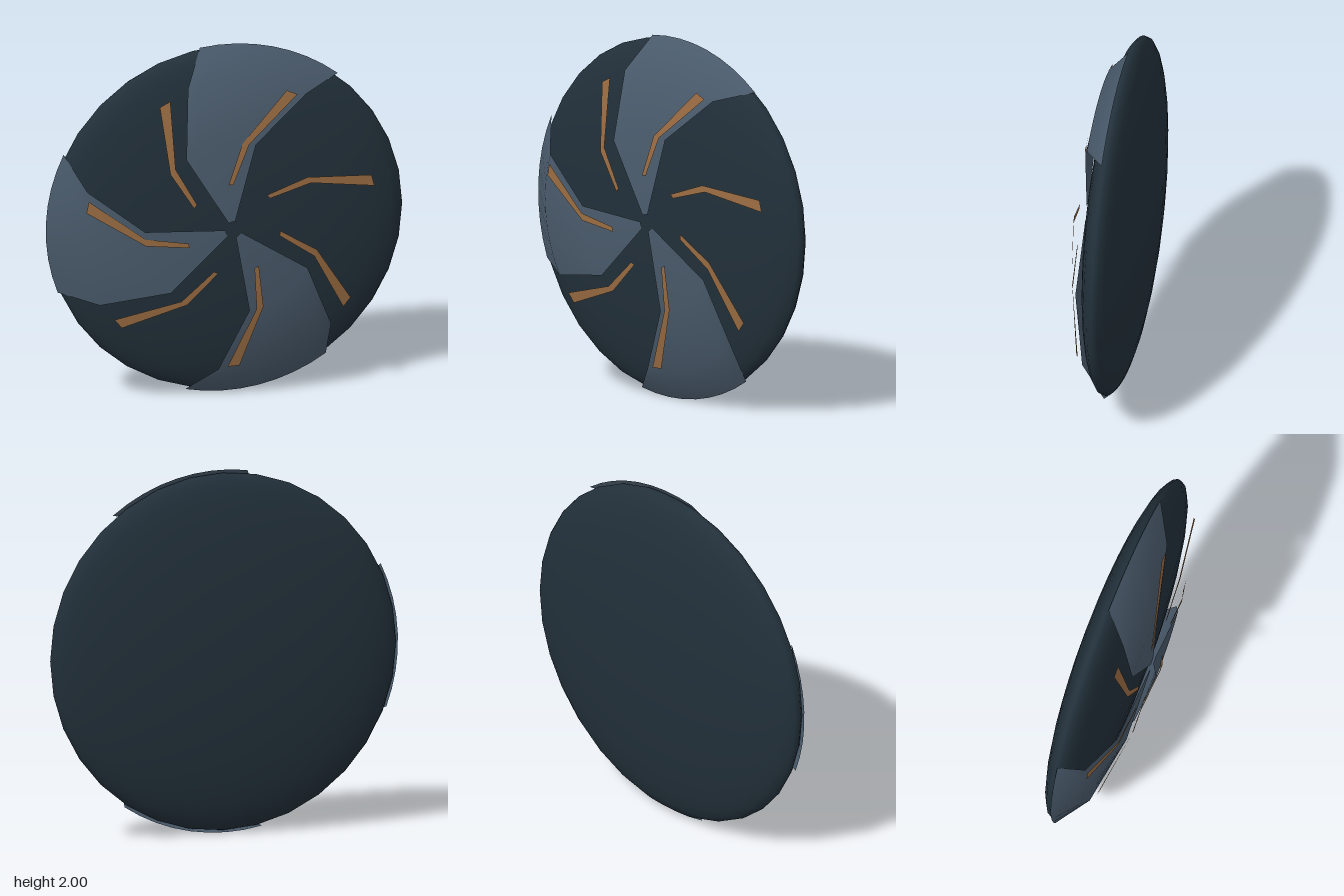
import * as THREE from 'three';

const SECTORS = 7;

// Curved sheet swept across rings of [radius, startAngle, endAngle, z]; angles in degrees clockwise from up
function ringSheet(rings, columns) {
  const positions = [], index = [];
  rings.forEach(([r, a0, a1, z], i) => {
    for (let j = 0; j <= columns; j++) {
      const a = THREE.MathUtils.degToRad(a0 + (a1 - a0) * j / columns);
      positions.push(r * Math.sin(a), r * Math.cos(a), z);
      if (i && j) {
        const d = i * (columns + 1) + j, c = d - 1, b = d - columns - 1, e = b - 1;
        index.push(e, b, d, e, d, c);
      }
    }
  });
  const geo = new THREE.BufferGeometry();
  geo.setAttribute('position', new THREE.Float32BufferAttribute(positions, 3));
  // wind the faces toward +z
  for (let k = 0; k < index.length; k += 3) [index[k + 1], index[k + 2]] = [index[k + 2], index[k + 1]];
  geo.setIndex(index);
  geo.computeVertexNormals();
  return geo;
}

export function createModel() {
  const group = new THREE.Group();
  const darkShell = new THREE.MeshStandardMaterial({ name: 'dark shell', color: 0x22303a });
  const slate = new THREE.MeshStandardMaterial({ name: 'slate blade', color: 0x4a5b6c, side: THREE.DoubleSide });
  const bronze = new THREE.MeshStandardMaterial({ name: 'bronze trim', color: 0x9a6c42, side: THREE.DoubleSide });

  // Flattened disc body
  const disc = new THREE.Mesh(new THREE.SphereGeometry(1, 32, 16), darkShell);
  disc.name = 'disc';
  disc.scale.set(0.985, 0.985, 0.15);
  disc.position.set(0, 1, -0.03);
  group.add(disc);

  // Swept blades and trim strips, repeated about the hub
  const bladeGeo = ringSheet([
    [0.045, -37, 10, 0.18],
    [0.49, -32, 15, 0.165],
    [0.833, -16.5, 30.3, 0.1],
    [1.0, -8.2, 38.6, -0.02],
  ], 8);
  const stripGeo = ringSheet([
    [0.26, -6.5, -0.5, 0.183],
    [0.49, 5.8, 10.4, 0.173],
    [0.815, 22.4, 27, 0.112],
  ], 1);

  const bladeSectors = [0, 3, 5];
  for (let i = 0; i < SECTORS; i++) {
    const sector = new THREE.Group();
    sector.name = 'sector' + (i + 1);
    sector.position.y = 1;
    sector.rotation.z = -i * Math.PI * 2 / SECTORS;
    if (bladeSectors.includes(i)) {
      const blade = new THREE.Mesh(bladeGeo, slate);
      blade.name = 'blade';
      sector.add(blade);
    }
    const strip = new THREE.Mesh(stripGeo, bronze);
    strip.name = 'trimStrip';
    sector.add(strip);
    group.add(sector);
  }
  return group;
}
